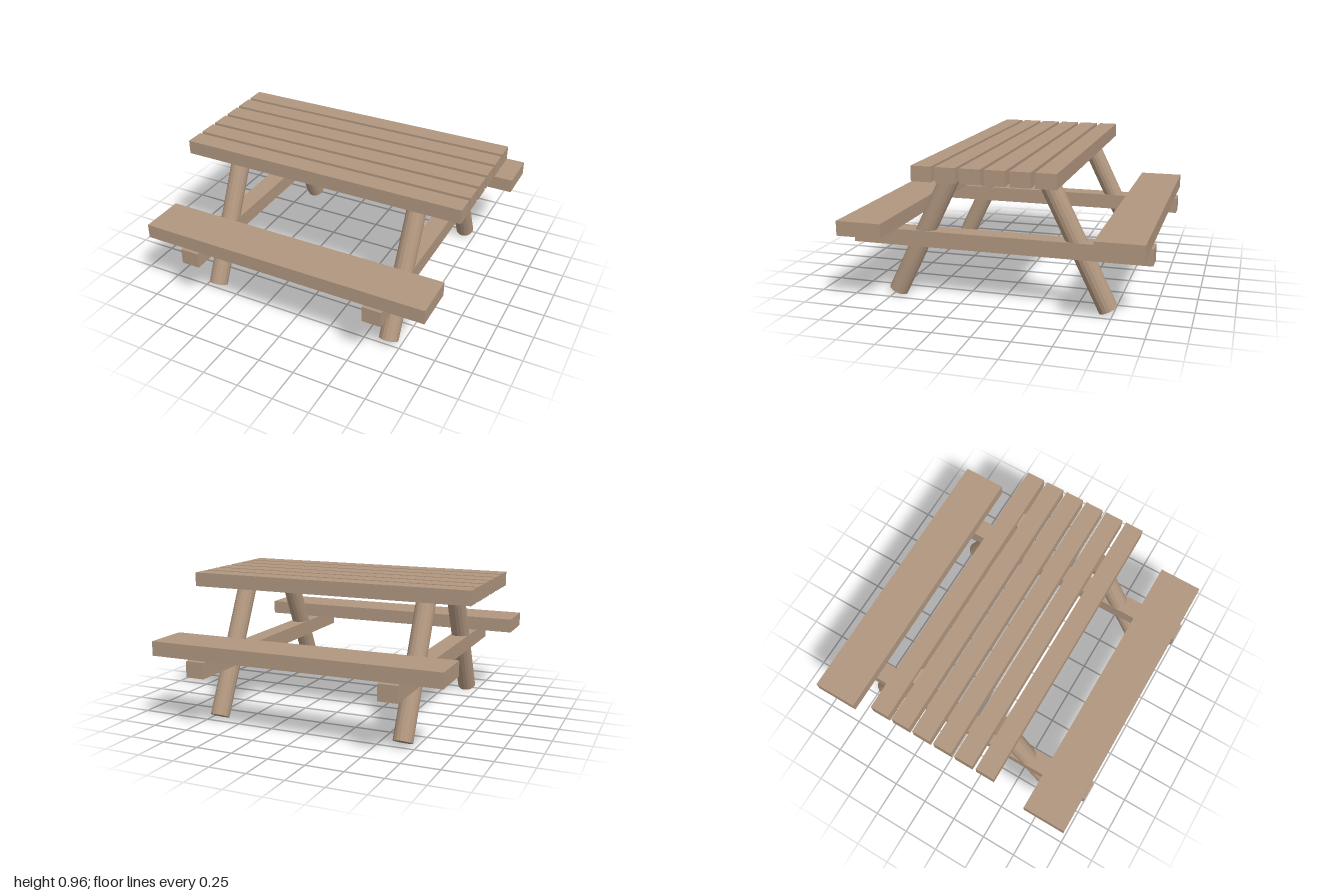
import * as THREE from 'three';

export function createModel() {
  const model = new THREE.Group();
  model.name = 'picnicTable';

  const wood = new THREE.MeshStandardMaterial({ color: 0xb0967f, flatShading: true });
  wood.name = 'wood';

  const add = (name, geometry, x, y, z) => {
    const mesh = new THREE.Mesh(geometry, wood);
    mesh.name = name;
    mesh.position.set(x, y, z);
    model.add(mesh);
    return mesh;
  };

  // Six table top slats
  const slat = new THREE.BoxGeometry(2, 0.097, 0.13);
  for (let i = 0; i < 6; i++) {
    add('tableSlat', slat, 0, 0.923, 0.393 - i * 0.157);
  }

  // Bench planks, front and back
  const plank = new THREE.BoxGeometry(2, 0.098, 0.306);
  for (const side of [1, -1]) add('benchPlank', plank, 0, 0.535, side * 0.833);

  // Cross beams and splayed round legs at each end
  const beam = new THREE.BoxGeometry(0.13, 0.108, 2);
  const foot = new THREE.Vector2(0.721, 0.037); // z, y
  const head = new THREE.Vector2(0.292, 0.914);
  const leg = new THREE.CylinderGeometry(0.065, 0.065, foot.distanceTo(head), 16);
  const lean = Math.atan2(foot.x - head.x, head.y - foot.y);
  for (const x of [0.665, -0.665]) {
    add('crossBeam', beam, x, 0.425, 0);
    for (const side of [1, -1]) {
      const mesh = add('leg', leg, x, (foot.y + head.y) / 2, side * (foot.x + head.x) / 2);
      mesh.rotation.x = -side * lean;
    }
  }

  return model;
}
